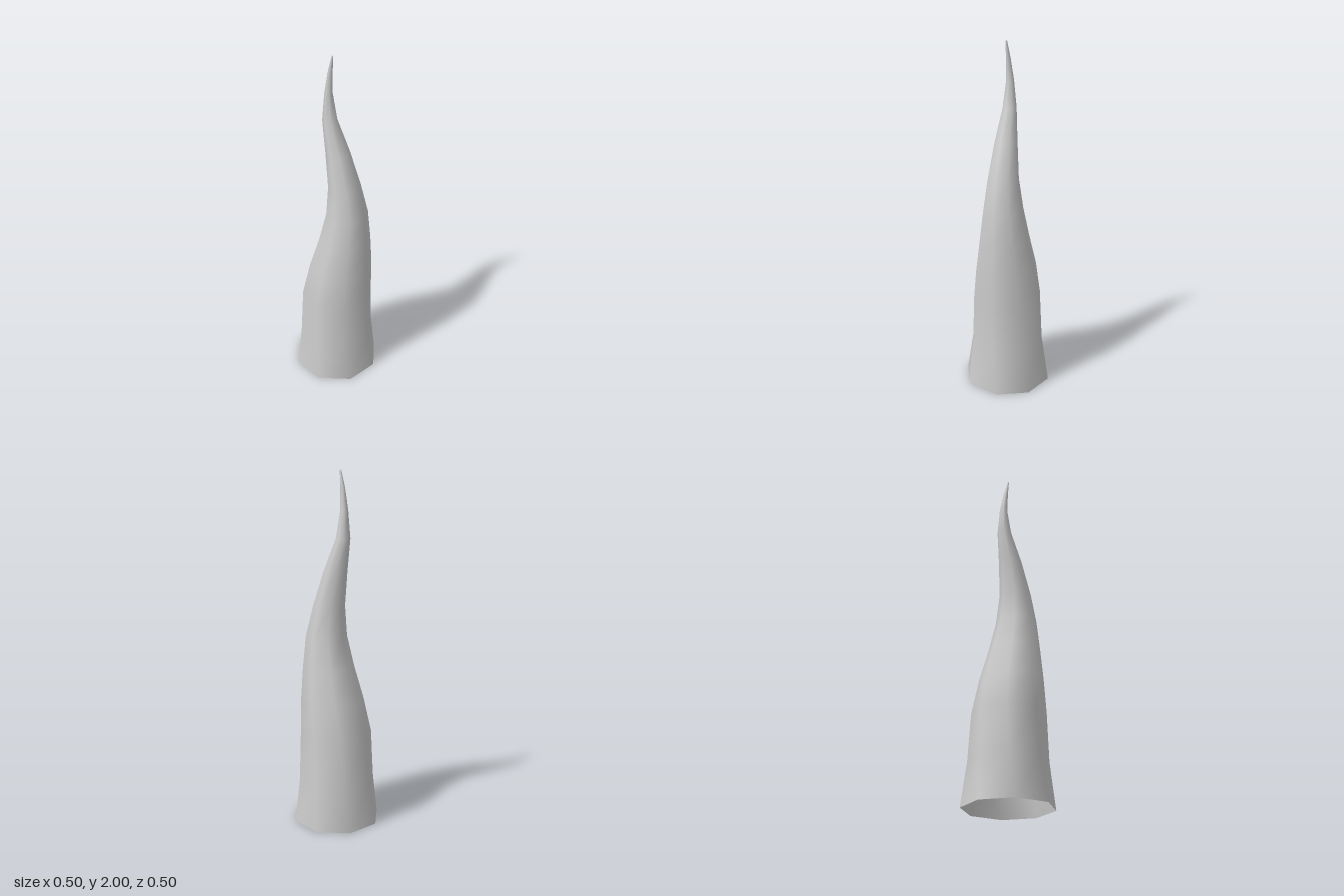
import * as THREE from 'three';

const SIDES = 8;

// Cross-sections from base to tip: [height, centre x, centre z, radius, twist in degrees]
const RINGS = [
  [0, 0, 0, 0.25, 0],
  [0.25, 0, 0, 0.216, 6],
  [0.52, 0.003, 0.003, 0.203, 10],
  [0.72, 0.022, 0.016, 0.178, 12],
  [0.9, 0.04, 0.033, 0.146, 12],
  [1.08, 0.05, 0.045, 0.116, 12],
  [1.25, 0.036, 0.04, 0.09, 12],
  [1.45, 0.004, 0.011, 0.066, 12],
  [1.63, -0.031, -0.024, 0.04, 12],
  [1.78, -0.036, -0.029, 0.022, 12],
  [1.9, -0.03, -0.016, 0.013, 12],
  [1.99, -0.021, -0.002, 0.005, 12],
];

function hornGeometry() {
  const positions = [];
  const index = [];

  // Octagonal rings along the bent axis
  for (const [y, cx, cz, r, twist] of RINGS) {
    for (let j = 0; j < SIDES; j++) {
      const a = (j / SIDES) * Math.PI * 2 + THREE.MathUtils.degToRad(twist - 7.6);
      positions.push(cx + r * Math.cos(a), y, cz + r * Math.sin(a));
    }
  }

  // Side walls, open at the base
  for (let i = 0; i < RINGS.length - 1; i++) {
    for (let j = 0; j < SIDES; j++) {
      const a = i * SIDES + j;
      const b = i * SIDES + ((j + 1) % SIDES);
      index.push(a, a + SIDES, b, b, a + SIDES, b + SIDES);
    }
  }

  // Closed tip
  const tip = RINGS.length * SIDES;
  positions.push(-0.02, 2, 0);
  for (let j = 0; j < SIDES; j++) {
    index.push(tip - SIDES + j, tip, tip - SIDES + ((j + 1) % SIDES));
  }

  const geometry = new THREE.BufferGeometry();
  geometry.setAttribute('position', new THREE.Float32BufferAttribute(positions, 3));
  geometry.setIndex(index);
  geometry.computeVertexNormals();
  return geometry;
}

export function createModel() {
  const group = new THREE.Group();
  group.name = 'curvedHorn';
  const material = new THREE.MeshStandardMaterial({ color: 0xcccccc, side: THREE.DoubleSide });
  const horn = new THREE.Mesh(hornGeometry(), material);
  horn.name = 'horn';
  group.add(horn);
  return group;
}
